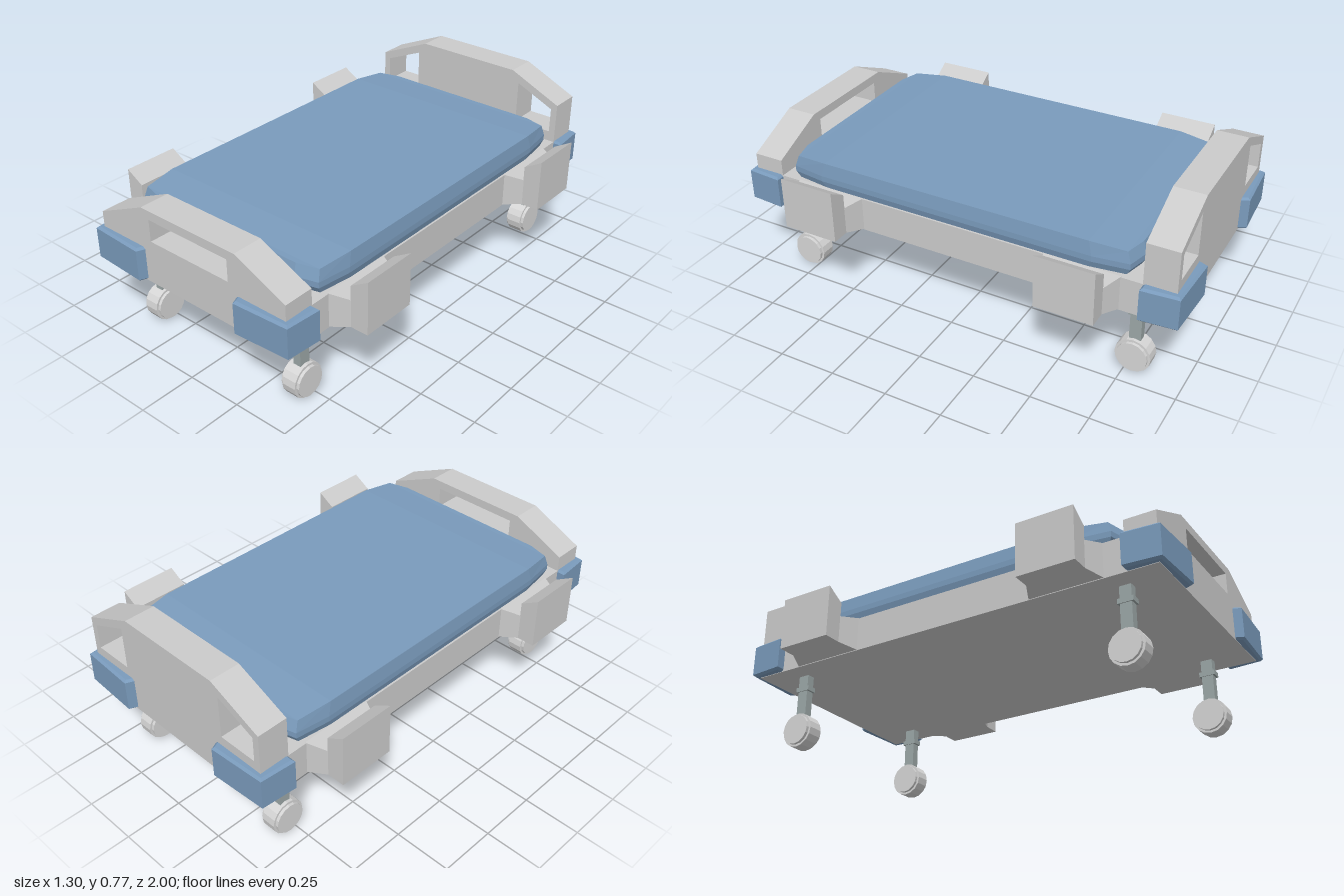
import * as THREE from 'three';

const mat = (name, color) => {
  const m = new THREE.MeshStandardMaterial({ color });
  m.name = name;
  m.flatShading = true;
  return m;
};

export function createModel() {
  const grey = mat('lightGrey', 0xcbcbcb);
  const blue = mat('blue', 0x7a9bbc);
  const steel = mat('steel', 0x9ca7a7);
  const white = mat('casterGrey', 0xd6d6d6);

  const model = new THREE.Group();
  model.name = 'hospitalBed';

  const add = (name, geometry, material, parent = model, x = 0, y = 0, z = 0) => {
    const mesh = new THREE.Mesh(geometry, material);
    mesh.name = name;
    mesh.position.set(x, y, z);
    parent.add(mesh);
    return mesh;
  };
  const points = (list) => list.map(([x, y]) => new THREE.Vector2(x, y));

  // Straight extrusion of an xy outline, with optional holes
  const slab = (outline, depth, holes = []) => {
    const shape = new THREE.Shape(points(outline));
    holes.forEach((h) => shape.holes.push(new THREE.Path(points(h))));
    return new THREE.ExtrudeGeometry(shape, { depth, bevelEnabled: false });
  };

  // Walls between closed rings of 3D points, plus extra triangles
  const loft = (rings, extra = []) => {
    const n = rings[0].length;
    const index = [...extra];
    for (let k = 0; k < rings.length - 1; k++) {
      for (let i = 0; i < n; i++) {
        const a = k * n + i, b = k * n + (i + 1) % n;
        index.push(a, a + n, b, b, a + n, b + n);
      }
    }
    const g = new THREE.BufferGeometry();
    g.setAttribute('position', new THREE.Float32BufferAttribute(rings.flat(2), 3));
    g.setIndex(index);
    const flat = g.toNonIndexed();
    flat.computeVertexNormals();
    return flat;
  };

  // Base frame
  add('baseFrame', new THREE.BoxGeometry(0.99, 0.15, 1.68), grey, model, 0, 0.41, 0);

  // End boards
  const board = (shoulder, top) => [
    [-0.495, 0.335], [0.495, 0.335], [0.495, shoulder],
    [0.25, top], [-0.25, top], [-0.495, shoulder],
  ];
  const handle = [[-0.21, 0.53], [-0.21, 0.627], [0.21, 0.627], [0.21, 0.53]];
  add('footboard', slab(board(0.557, 0.667), 0.135, [handle]), grey, model, 0, 0, 0.83);
  const grips = [-1, 1].map((s) => [
    [s * 0.465, 0.53], [s * 0.285, 0.53], [s * 0.285, 0.72], [s * 0.465, 0.642],
  ]);
  add('headboard', slab(board(0.667, 0.775), 0.135, grips), grey, model, 0, 0, -0.965);

  // Mattress: clipped-corner rings, with the top easing down at both ends
  const half = [[0.38, -0.795], [0.475, -0.77], [0.495, -0.62], [0.495, 0.62], [0.475, 0.77], [0.38, 0.795]];
  const outline = [...half, ...[...half].reverse().map(([x, z]) => [-x, z])];
  const ring = (y, inset, drop = 0) => outline.map(([x, z]) => [
    x - Math.sign(x) * inset * 0.5,
    y - (Math.abs(z) > 0.7 ? drop : 0),
    z - Math.sign(z) * inset,
  ]);
  const rings = [ring(0.48, 0.02), ring(0.515, 0), ring(0.54, 0), ring(0.6, 0.016, 0.012)];
  const cap = [];
  for (let i = 0; i < 5; i++) {
    const r = 36 + i, l = 36 + 11 - i;
    cap.push(l, l - 1, r, r, l - 1, r + 1);
  }
  add('mattress', loft(rings, cap), blue);

  // Corner bumpers
  for (const sx of [-1, 1]) {
    for (const sz of [-1, 1]) {
      const plan = [[0.25, 0.9], [0.25, 0.965], [0.265, 1], [0.52, 0.987], [0.532, 0.83], [0.46, 0.83]];
      const shape = new THREE.Shape(points(plan.map(([x, z]) => [sx * x, -sz * z])));
      const g = new THREE.ExtrudeGeometry(shape, {
        depth: 0.133, bevelSize: 0.01, bevelThickness: 0.009, bevelOffset: -0.01, bevelSegments: 1,
      });
      g.rotateX(-Math.PI / 2);
      add('cornerBumper', g, blue, model, 0, 0.346, 0);
    }
  }

  // Side brackets: a tapered arm carrying an upright block with a slanted top
  const section = (x, y0, y1, z) => [[x, y1, z], [x, y1, -z], [x, y0, -z], [x, y0, z]];
  const arm = loft([section(0.49, 0.337, 0.487, 0.163), section(0.572, 0.352, 0.472, 0.125)]);
  const block = slab([[0.57, 0.352], [0.65, 0.352], [0.65, 0.583], [0.57, 0.535]], 0.25);
  for (const angle of [0, Math.PI]) {
    for (const z of [-0.58, 0.58]) {
      const bracket = new THREE.Group();
      bracket.name = 'sideBracket';
      bracket.position.z = z;
      bracket.rotation.y = angle;
      add('bracketArm', arm, grey, bracket);
      add('bracketBlock', block, grey, bracket, 0, 0, -0.125);
      model.add(bracket);
    }
  }

  // Legs with casters
  const disc = (r, w) => new THREE.CylinderGeometry(r, r, w, 16).rotateZ(Math.PI / 2);
  const tread = disc(0.076, 0.064);
  const hub = disc(0.066, 0.09);
  const post = new THREE.BoxGeometry(0.036, 0.22, 0.05);
  const collar = new THREE.BoxGeometry(0.044, 0.021, 0.068);
  for (const x of [-0.392, 0.392]) {
    for (const z of [-0.785, 0.785]) {
      const leg = new THREE.Group();
      leg.name = 'leg';
      leg.position.set(x, 0, z);
      add('legPost', post, steel, leg, 0, 0.235, 0);
      add('legCollar', collar, steel, leg, 0, 0.272, 0);
      add('casterTread', tread, white, leg, 0, 0.076, 0);
      add('casterHub', hub, white, leg, 0, 0.076, 0);
      model.add(leg);
    }
  }
  return model;
}
